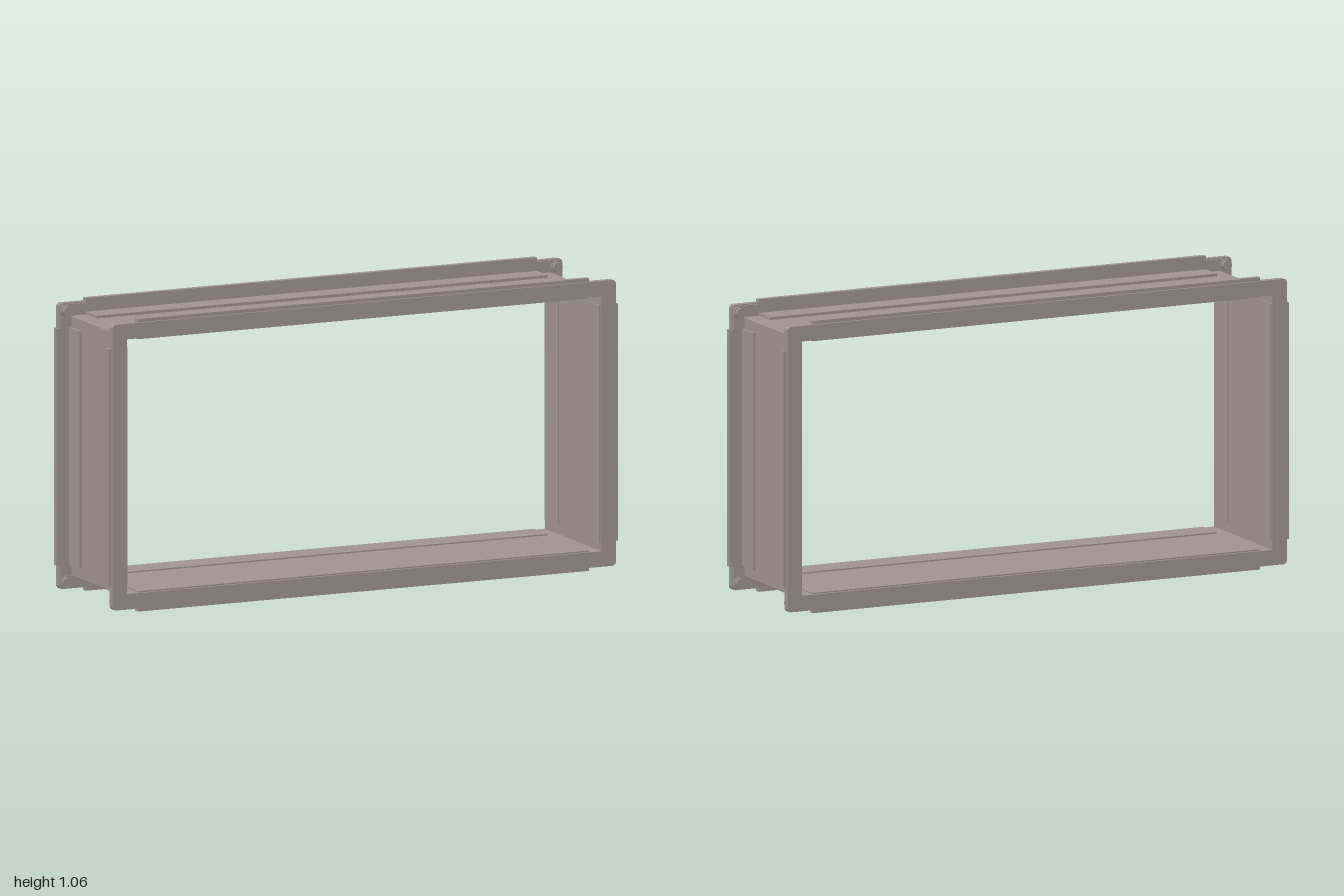
import * as THREE from 'three';

export function createModel() {
  const model = new THREE.Group();
  model.name = 'ductSection';
  const steel = new THREE.MeshStandardMaterial({ color: 0xa09594 });
  steel.name = 'galvanised grey';

  // Half sizes measured from the centre of the opening
  const OUT = { x: 0.941, y: 0.47 };    // duct wall, outside
  const IN = { x: 0.931, y: 0.46 };     // duct wall, inside
  const TIP = { x: 0.988, y: 0.516 };   // flange rim
  const CLEAT = { x: 0.885, y: 0.428 }; // half length of the cleats

  function add(parent, name, geometry) {
    const mesh = new THREE.Mesh(geometry, steel);
    mesh.name = name;
    parent.add(mesh);
    return mesh;
  }

  function polygon(points) {
    return new THREE.Shape(points.map(([x, y]) => new THREE.Vector2(x, y)));
  }

  function extrude(shape, depth) {
    return new THREE.ExtrudeGeometry(shape, { depth, bevelEnabled: false, curveSegments: 5 });
  }

  // Rectangular ring with rounded outer corners, extruded from z0 to z1
  function ring(outer, inner, r, z0, z1) {
    const { x, y } = outer;
    const s = new THREE.Shape();
    s.moveTo(-x + r, -y).lineTo(x - r, -y);
    s.absarc(x - r, -y + r, r, -Math.PI / 2, 0);
    s.absarc(x - r, y - r, r, 0, Math.PI / 2);
    s.absarc(-x + r, y - r, r, Math.PI / 2, Math.PI);
    s.absarc(-x + r, -y + r, r, Math.PI, Math.PI * 1.5);
    const h = polygon([[-inner.x, -inner.y], [-inner.x, inner.y],
      [inner.x, inner.y], [inner.x, -inner.y]]);
    s.holes.push(h);
    return extrude(s, z1 - z0).translate(0, 0, z0);
  }

  add(model, 'ductWalls', ring(OUT, IN, 0.003, -0.212, 0.212));

  // Everything at one open end; the back is the same assembly turned round
  function makeEnd(name) {
    const end = new THREE.Group();
    end.name = name;
    add(end, 'flange', ring(TIP, IN, 0.014, 0.21, 0.234));

    // Hooked cleats over the flange and flat strips inside the duct
    for (let k = 0; k < 4; k++) {
      const across = k % 2 ? 'x' : 'y', along = k % 2 ? 'y' : 'x';
      const wall = OUT[across], tip = TIP[across], len = 2 * CLEAT[along];
      const top = tip + 0.0125;
      const profile = polygon([[0.117, wall], [0.211, wall], [0.211, tip],
        [0.226, tip], [0.226, top], [0.204, top], [0.204, wall + 0.01], [0.117, wall + 0.01]]);
      const hook = extrude(profile, len).translate(0, 0, -len / 2).rotateY(-Math.PI / 2);
      add(end, 'cleat', hook.rotateZ(k * Math.PI / 2));

      const strip = new THREE.BoxGeometry(len, 0.006, 0.108);
      strip.translate(0, IN[across] - 0.002, 0.171).rotateZ(k * Math.PI / 2);
      add(end, 'innerStrip', strip);
    }

    // Corner plates behind the flange, each with a bolt
    for (const sx of [-1, 1]) for (const sy of [-1, 1]) {
      let pts = [[CLEAT.x, OUT.y], [OUT.x, OUT.y], [OUT.x, CLEAT.y], [0.984, CLEAT.y],
        [0.984, 0.502], [0.974, 0.512], [CLEAT.x, 0.512]];
      pts = pts.map(([x, y]) => [x * sx, y * sy]);
      add(end, 'cornerPlate', extrude(polygon(pts), 0.007).translate(0, 0, 0.204));

      const washer = new THREE.CylinderGeometry(0.022, 0.022, 0.006, 20);
      washer.rotateX(Math.PI / 2).translate(sx * 0.962, sy * 0.489, 0.202);
      add(end, 'washer', washer);
      const head = new THREE.CylinderGeometry(0.018, 0.018, 0.014, 12);
      head.rotateX(Math.PI / 2).translate(sx * 0.962, sy * 0.489, 0.195);
      add(end, 'boltHead', head);
    }
    return end;
  }

  const front = makeEnd('frontEnd');
  const back = makeEnd('backEnd');
  back.rotation.y = Math.PI;
  model.add(front, back);

  // Stand the duct on the ground
  for (const child of model.children) child.position.y = 0.5285;
  return model;
}
